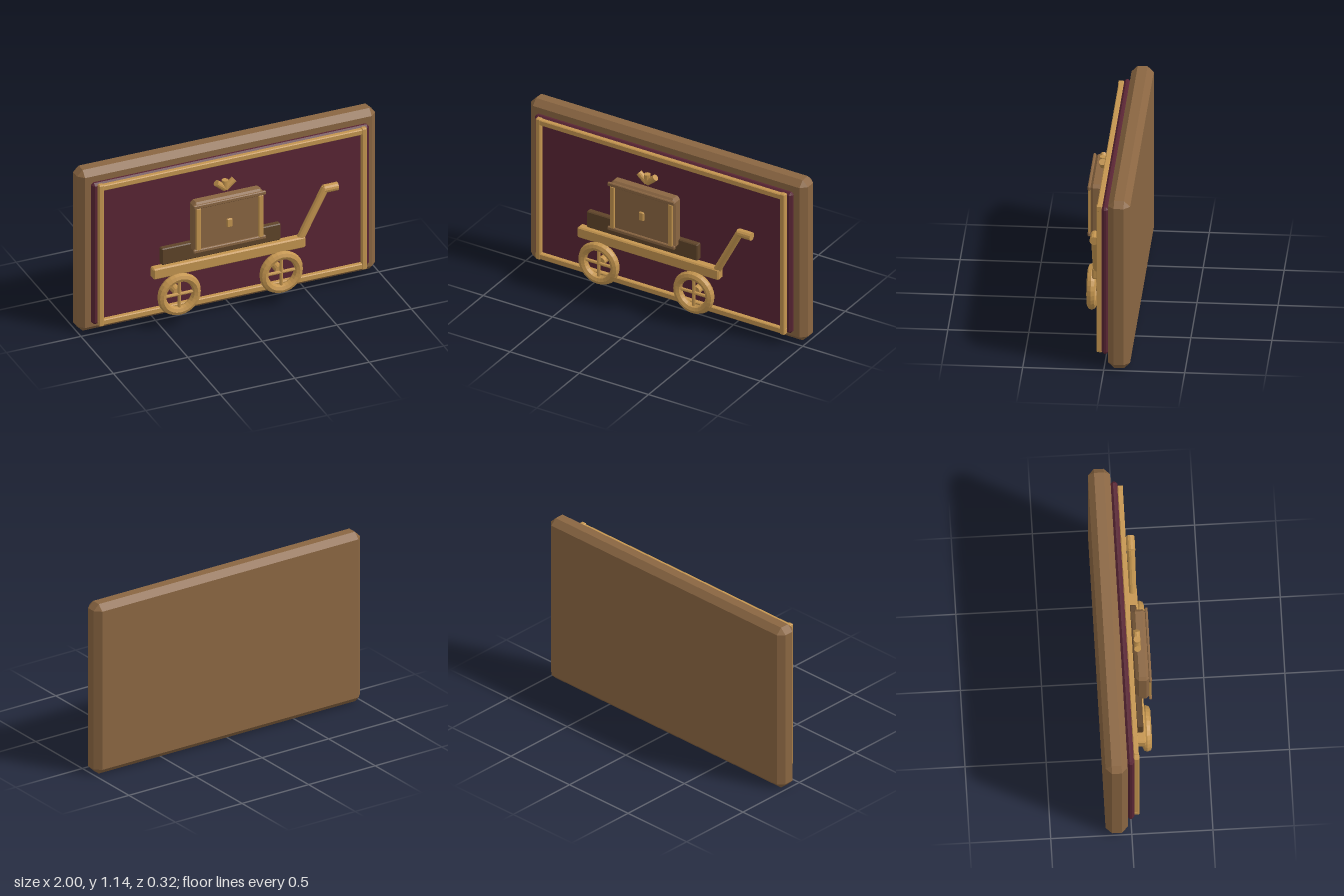
import * as THREE from 'three';
import { ConvexGeometry } from 'three/addons/geometries/ConvexGeometry.js';

const mat = (name, color) => {
  const m = new THREE.MeshStandardMaterial({ color, flatShading: true });
  m.name = name;
  return m;
};

// Box given by its min and max corners, with every edge chamfered by c
function chamferBox(min, max, c) {
  const h = min.map((v, i) => (max[i] - v) / 2);
  const mid = min.map((v, i) => (max[i] + v) / 2);
  const points = [];
  for (const sx of [-1, 1]) for (const sy of [-1, 1]) for (const sz of [-1, 1]) {
    for (let full = 0; full < 3; full++) {
      const p = [sx, sy, sz].map((s, i) => s * (i === full ? h[i] : h[i] - c));
      points.push(new THREE.Vector3(...p));
    }
  }
  return new ConvexGeometry(points).translate(...mid);
}

// Cylinder running between two points
function rod(a, b, radius, sides = 12) {
  const start = new THREE.Vector3(...a), end = new THREE.Vector3(...b);
  const dir = end.clone().sub(start);
  const g = new THREE.CylinderGeometry(radius, radius, dir.length(), sides);
  g.applyQuaternion(new THREE.Quaternion().setFromUnitVectors(new THREE.Vector3(0, 1, 0), dir.normalize()));
  return g.translate(...start.add(end).multiplyScalar(0.5).toArray());
}

export function createModel() {
  const model = new THREE.Group();
  model.name = 'cartPlaque';
  const wood = mat('wood', 0x8a6642);
  const darkWood = mat('darkWood', 0x5f4429);
  const gold = mat('gold', 0xc4954f);
  const maroon = mat('maroon', 0x592534);

  const add = (name, geometry, material, parent = model) => {
    const mesh = new THREE.Mesh(geometry, material);
    mesh.name = name;
    parent.add(mesh);
    return mesh;
  };
  const box = (name, min, max, c, material, parent) => add(name, chamferBox(min, max, c), material, parent);

  // Backing board and cloth panel
  box('board', [-1, 0, -0.16], [1, 1.14, -0.023], 0.038, wood);
  box('panel', [-0.93, 0.07, -0.024], [0.93, 1.07, 0.021], 0.016, maroon);

  // Gold border
  const border = new THREE.Group();
  border.name = 'border';
  model.add(border);
  for (const s of [-1, 1]) {
    const x = s * 0.882, y = 0.57 + s * 0.476;
    box('borderSide', [x - 0.017, 0.07, 0.018], [x + 0.017, 1.07, 0.053], 0.005, gold, border);
    box('borderRail', [-0.9, y - 0.019, 0.018], [0.9, y + 0.019, 0.051], 0.005, gold, border);
  }

  // Cart deck, load bed and pull handle
  box('deck', [-0.56, 0.355, 0.056], [0.46, 0.43, 0.113], 0.008, gold);
  box('loadBed', [-0.5, 0.44, 0.058], [0.3, 0.555, 0.1], 0.006, darkWood);
  add('handleShaft', rod([0.435, 0.415, 0.085], [0.603, 0.737, 0.085], 0.025), gold);
  add('handleGrip', rod([0.59, 0.727, 0.085], [0.685, 0.727, 0.085], 0.027), gold);

  // Wheels with crossed spokes, on short axles
  for (const x of [-0.395, 0.29]) {
    const wheel = new THREE.Group();
    wheel.name = 'wheel';
    wheel.position.set(x, 0.228, 0.124);
    model.add(wheel);
    add('rim', new THREE.TorusGeometry(0.116, 0.029, 8, 28), gold, wheel);
    add('spokeUpright', rod([0, -0.1, 0], [0, 0.1, 0], 0.011, 8), gold, wheel);
    add('spokeLevel', rod([-0.1, 0, 0], [0.1, 0, 0], 0.011, 8), gold, wheel);
    add('axle', rod([0, 0, -0.106], [0, 0, -0.024], 0.027), gold, wheel);
  }

  // Chest with rails, corner posts and lock
  const chest = new THREE.Group();
  chest.name = 'chest';
  model.add(chest);
  box('chestBody', [-0.305, 0.5, 0.065], [0.165, 0.855, 0.15], 0.02, wood, chest);
  box('chestTopRail', [-0.313, 0.822, 0.145], [0.173, 0.849, 0.163], 0.005, wood, chest);
  box('chestBottomRail', [-0.313, 0.51, 0.145], [0.173, 0.535, 0.163], 0.005, wood, chest);
  for (const s of [-1, 1]) {
    const x = -0.07 + s * 0.21;
    box('chestPost', [x - 0.016, 0.512, 0.145], [x + 0.016, 0.824, 0.162], 0.004, gold, chest);
  }
  box('lock', [-0.088, 0.645, 0.145], [-0.052, 0.705, 0.161], 0.005, gold, chest);

  // Fan of three short rods above the chest
  for (const s of [-1, 0, 1]) {
    const tipY = s ? 0.935 : 0.943;
    add('crestRod', rod([-0.07, 0.884, 0.085], [-0.07 + s * 0.06, tipY, 0.085], 0.021), gold);
  }
  return model;
}
